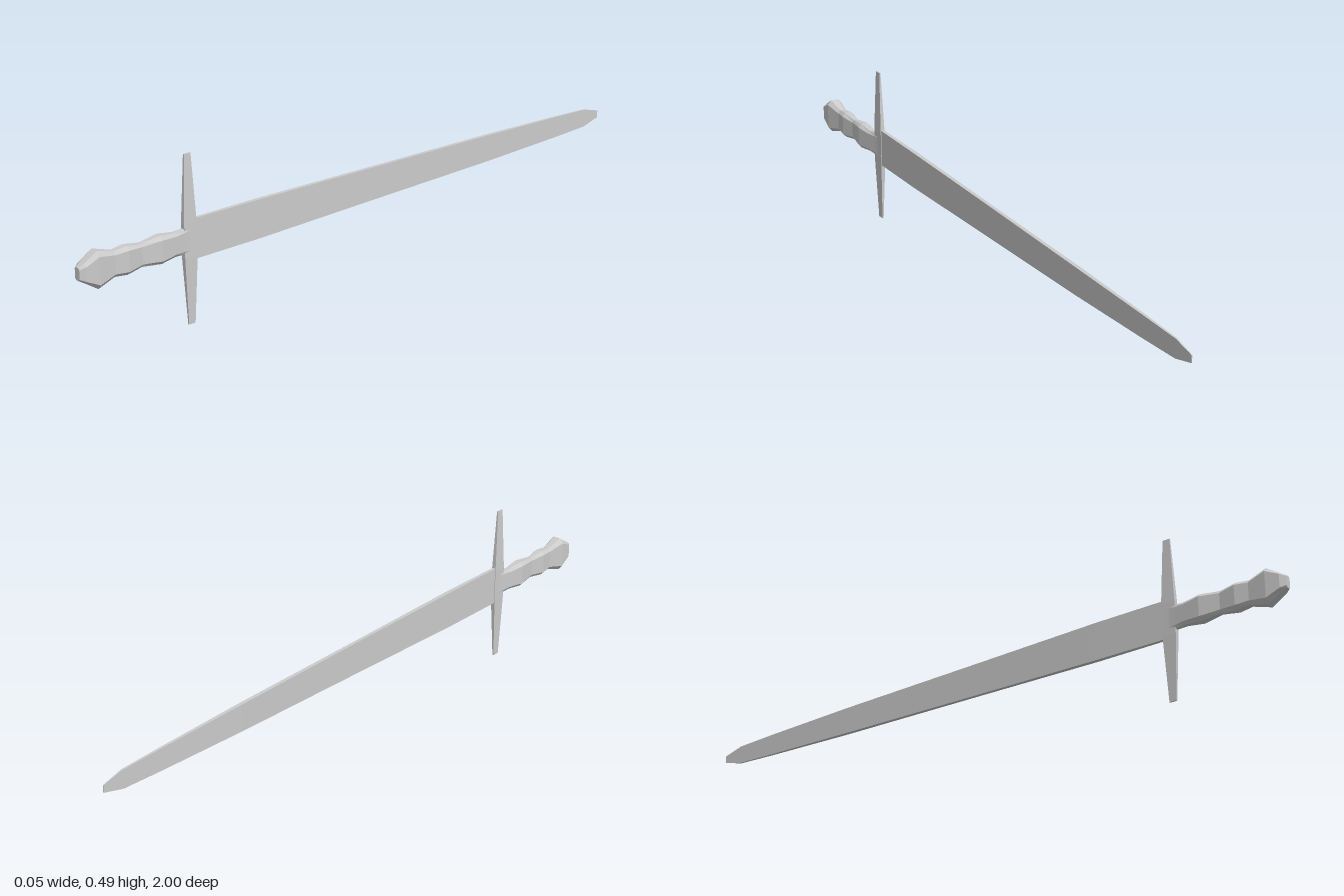
import * as THREE from 'three';

const CY = 0.245;
const material = new THREE.MeshStandardMaterial({ color: 0xcccccc, flatShading: true });

// Counter-clockwise unit outlines, scaled per section
const RECT = [[1, 1], [-1, 1], [-1, -1], [1, -1]];
const OCTAGON = [[1, 0.74], [0.5, 1], [-0.5, 1], [-1, 0.74], [-1, -0.74], [-0.5, -1], [0.5, -1], [1, -0.74]];

// Closed loft along +z; each section is [z, halfWidth, halfHeight], in rising z
function loft(name, outline, sections) {
  const n = outline.length;
  const positions = [];
  const index = [];
  for (const [z, w, h] of sections) {
    for (const [x, y] of outline) positions.push(x * w, y * h, z);
  }
  for (let s = 0; s < sections.length - 1; s++) {
    for (let i = 0; i < n; i++) {
      const a = s * n + i;
      const b = s * n + (i + 1) % n;
      index.push(a, b, b + n, a, b + n, a + n);
    }
  }
  const last = (sections.length - 1) * n;
  for (let i = 1; i < n - 1; i++) {
    index.push(0, i + 1, i, last, last + i, last + i + 1);
  }
  const indexed = new THREE.BufferGeometry();
  indexed.setAttribute('position', new THREE.Float32BufferAttribute(positions, 3));
  indexed.setIndex(index);
  const geometry = indexed.toNonIndexed();
  geometry.computeVertexNormals();
  const mesh = new THREE.Mesh(geometry, material);
  mesh.name = name;
  return mesh;
}

export function createModel() {
  const sword = new THREE.Group();
  sword.name = 'sword';

  // Blade tapering back to a blunt tip
  const blade = loft('blade', RECT, [
    [-1, 0.001, 0.011], [-0.935, 0.0025, 0.028], [-0.8, 0.004, 0.033],
    [-0.5, 0.006, 0.041], [0, 0.0055, 0.050], [0.4, 0.0065, 0.057], [0.64, 0.005, 0.058],
  ]);

  // Ribbed grip
  const grip = loft('grip', OCTAGON, [
    [0.64, 0.007, 0.040], [0.66, 0.009, 0.036], [0.69, 0.013, 0.034], [0.74, 0.020, 0.040],
    [0.8, 0.011, 0.033], [0.85, 0.020, 0.040], [0.89, 0.015, 0.036],
  ]);

  // Faceted pommel with a narrow end face
  const pommel = loft('pommel', OCTAGON, [
    [0.89, 0.015, 0.036], [0.945, 0.024, 0.053], [0.985, 0.020, 0.027], [1, 0.010, 0.018],
  ]);

  // Crossguard lofted lengthwise, then stood upright
  const guard = loft('crossguard', RECT, [
    [-0.244, 0.002, 0.011], [-0.05, 0.007, 0.021], [0.05, 0.007, 0.021], [0.244, 0.002, 0.011],
  ]);
  guard.rotation.x = -Math.PI / 2;
  guard.position.z = 0.638;

  sword.add(blade, grip, pommel, guard);
  for (const part of sword.children) part.position.y = CY;
  return sword;
}
